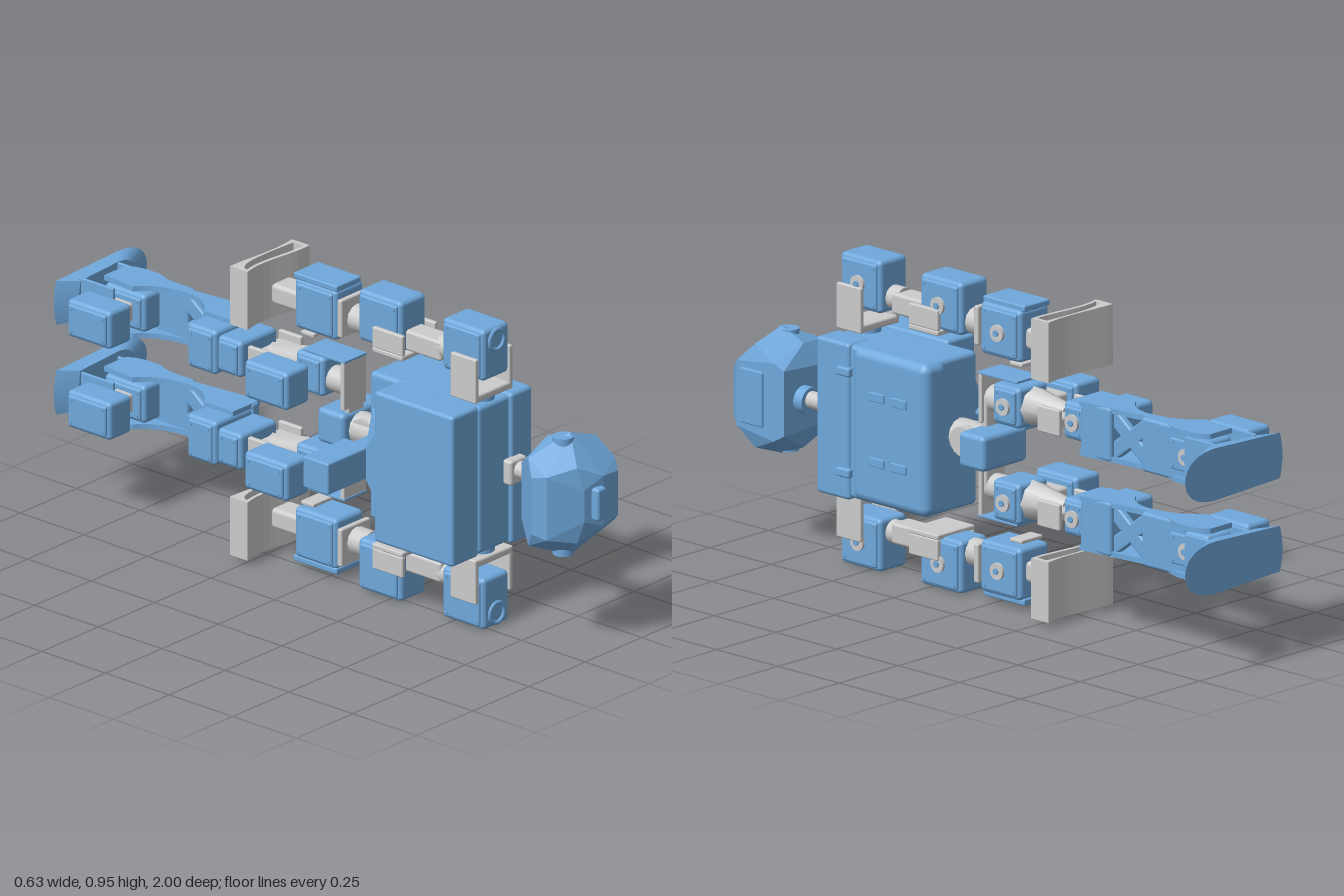
import * as THREE from 'three';
import { RoundedBoxGeometry } from 'three/addons/geometries/RoundedBoxGeometry.js';
import { ConvexGeometry } from 'three/addons/geometries/ConvexGeometry.js';

const blue = new THREE.MeshStandardMaterial({ color: 0x6fa8dc });
const grey = new THREE.MeshStandardMaterial({ color: 0xcccccc });
const HEIGHT = 0.97; // the figure lies on its side, mirrored about half this height

function add(parent, name, geometry, material) {
  const mesh = new THREE.Mesh(geometry, material);
  mesh.name = name;
  parent.add(mesh);
  return mesh;
}

// Box given by its extents, with softened edges
function box(parent, name, material, [x0, x1], [y0, y1], [z0, z1], r = 0.01) {
  const w = x1 - x0, h = y1 - y0, d = z1 - z0;
  const radius = Math.min(r, w * 0.3, h * 0.3, d * 0.3);
  const mesh = add(parent, name, new RoundedBoxGeometry(w, h, d, 2, radius), material);
  mesh.position.set((x0 + x1) / 2, (y0 + y1) / 2, (z0 + z1) / 2);
  return mesh;
}

// Disc or rod along the given axis
function rod(parent, name, material, axis, r, length, x, y, z, sides = 20) {
  const g = new THREE.CylinderGeometry(r, r, length, sides);
  if (axis === 'x') g.rotateZ(Math.PI / 2);
  if (axis === 'z') g.rotateX(Math.PI / 2);
  add(parent, name, g, material).position.set(x, y, z);
}

// Servo: casing, end lids, corner screws and a turning horn on the front
function servo(parent, name, xr, yr, zr) {
  const g = new THREE.Group();
  g.name = name;
  parent.add(g);
  const mid = ([a, b]) => (a + b) / 2;
  box(g, 'casing', blue, [xr[0] + 0.008, xr[1] - 0.008], yr, zr, 0.014);
  const inset = ([a, b]) => [a + 0.012, b - 0.012];
  box(g, 'lid', blue, xr, inset(yr), inset(zr), 0.006);
  rod(g, 'horn', grey, 'x', 0.026, 0.012, xr[1] + 0.003, mid(yr), mid(zr));
  rod(g, 'hornScrew', blue, 'x', 0.01, 0.02, xr[1] + 0.004, mid(yr), mid(zr), 10);
  for (const y of inset(inset(yr))) for (const z of inset(inset(zr)))
    rod(g, 'screw', blue, 'x', 0.006, xr[1] - xr[0] + 0.006, mid(xr), y, z, 8);
}

// U-shaped bracket: a web and two cheeks either side of a servo
function fork(parent, name, xr, yr, zr, webY) {
  const g = new THREE.Group();
  g.name = name;
  parent.add(g);
  box(g, 'web', grey, xr, webY, zr, 0.008);
  box(g, 'cheek', grey, [xr[0], xr[0] + 0.016], yr, zr, 0.006);
  box(g, 'cheek', grey, [xr[1] - 0.016, xr[1]], yr, zr, 0.006);
}

function buildArm(Y) {
  const arm = new THREE.Group();
  const y = (a, b) => [Y(a), Y(b)].sort((p, q) => p - q);
  fork(arm, 'shoulderBracket', [-0.047, 0.12], y(0.735, 0.875), [0.51, 0.61], y(0.735, 0.76));
  rod(arm, 'shoulderHorn', blue, 'y', 0.04, 0.03, 0.035, Y(0.73), 0.56);
  servo(arm, 'shoulderServo', [-0.03, 0.1], y(0.8, 0.962), [0.455, 0.62]);
  const ring = add(arm, 'shoulderRing', new THREE.TorusGeometry(0.032, 0.007, 8, 18), blue);
  ring.position.set(0.035, Y(0.92), 0.62);
  rod(arm, 'upperArmJoint', grey, 'z', 0.036, 0.05, 0.035, Y(0.845), 0.435);
  box(arm, 'upperArmLink', grey, [0, 0.075], y(0.805, 0.87), [0.24, 0.43]);
  fork(arm, 'elbowBracket', [-0.045, 0.115], y(0.805, 0.87), [0.2, 0.32], y(0.79, 0.806));
  servo(arm, 'elbowServo', [-0.03, 0.1], y(0.8, 0.962), [0.125, 0.295]);
  rod(arm, 'forearmJoint', grey, 'z', 0.042, 0.06, 0.035, Y(0.84), 0.1, 12);
  box(arm, 'forearmPlate', grey, [-0.03, 0.1], y(0.79, 0.91), [0.05, 0.068]);
  servo(arm, 'wristServo', [-0.03, 0.11], y(0.77, 0.93), [-0.125, 0.04]);
  box(arm, 'wristLid', blue, [-0.02, 0.09], y(0.925, 0.945), [-0.13, 0.04], 0.005);
  box(arm, 'wristFoot', grey, [-0.01, 0.08], y(0.75, 0.762), [-0.11, -0.06], 0.004);
  box(arm, 'wristLink', grey, [-0.005, 0.08], y(0.81, 0.875), [-0.235, -0.12], 0.014);

  // Hand: an open sleeve with gently waved broad faces
  const s = new THREE.Shape();
  s.moveTo(-0.11, 0.23);
  s.bezierCurveTo(-0.02, 0.26, 0.08, 0.22, 0.165, 0.23);
  s.lineTo(0.165, 0.3);
  s.bezierCurveTo(0.08, 0.28, -0.02, 0.3, -0.11, 0.3);
  s.closePath();
  const hole = new THREE.Path();
  hole.moveTo(-0.095, 0.245);
  hole.bezierCurveTo(-0.095, 0.288, 0, 0.288, 0.15, 0.28);
  hole.lineTo(0.15, 0.242);
  hole.bezierCurveTo(0.08, 0.234, -0.02, 0.267, -0.095, 0.245);
  s.holes.push(hole);
  const g = new THREE.ExtrudeGeometry(s, { depth: 0.185, bevelEnabled: false, curveSegments: 10 });
  g.rotateX(-Math.PI / 2);
  add(arm, 'hand', g, grey).position.y = y(0.76, 0.945)[0];
  return arm;
}

function buildLeg(Y) {
  const leg = new THREE.Group();
  const y = (a, b) => [Y(a), Y(b)].sort((p, q) => p - q);
  // Hip
  box(leg, 'hipSidePlate', blue, [-0.01, 0.09], y(0.7, 0.708), [-0.1, 0.062], 0.002);
  box(leg, 'hipTopPlate', grey, [-0.01, 0.09], y(0.55, 0.705), [0.045, 0.06], 0.004);
  rod(leg, 'hipJoint', grey, 'z', 0.04, 0.07, 0.04, Y(0.62), 0.01);
  servo(leg, 'hipServo', [-0.02, 0.12], y(0.57, 0.695), [-0.13, -0.02]);
  servo(leg, 'rearHipServo', [-0.17, -0.05], y(0.57, 0.69), [-0.2, -0.03]);
  box(leg, 'hipLink', grey, [-0.06, 0], y(0.6, 0.66), [-0.17, -0.08]);

  // Thigh: grey block narrowing towards the knee
  const t = new THREE.CylinderGeometry(0.034, 0.062, 0.15, 8).rotateX(-Math.PI / 2);
  add(leg, 'thigh', t, grey).position.set(0.045, Y(0.63), -0.195);
  fork(leg, 'thighBracket', [-0.04, 0.13], y(0.59, 0.67), [-0.31, -0.22], y(0.615, 0.645));

  // Knee
  servo(leg, 'kneeServo', [-0.08, 0.1], y(0.575, 0.69), [-0.385, -0.29]);
  servo(leg, 'upperShinServo', [-0.085, 0.1], y(0.56, 0.7), [-0.5, -0.385]);

  // Shin side plates, hollowed at the calf
  const s = new THREE.Shape();
  s.moveTo(0.12, 0.385);
  s.lineTo(0, 0.385);
  s.lineTo(0, 0.5);
  s.quadraticCurveTo(0.075, 0.55, 0.07, 0.63);
  s.quadraticCurveTo(0.06, 0.74, 0, 0.78);
  s.lineTo(0.01, 0.9);
  s.lineTo(0.1, 0.9);
  s.quadraticCurveTo(0.135, 0.87, 0.125, 0.78);
  s.quadraticCurveTo(0.085, 0.68, 0.1, 0.6);
  s.closePath();
  for (const c of [0.547, 0.697]) {
    const g = new THREE.ExtrudeGeometry(s, { depth: 0.016, bevelEnabled: false, curveSegments: 10 });
    g.rotateX(-Math.PI / 2);
    add(leg, 'shinSide', g, blue).position.y = y(c, c + 0.016)[0];
  }
  // Shin front, with crossed struts over the opening
  box(leg, 'shinUpperFront', blue, [0.08, 0.115], y(0.547, 0.713), [-0.505, -0.38]);
  box(leg, 'shinLowerFront', blue, [0.075, 0.115], y(0.547, 0.713), [-0.81, -0.63]);
  for (const a of [-1, 1])
    box(leg, 'shinStrut', blue, [0.075, 0.1], y(0.605, 0.655), [-0.67, -0.47]).rotation.x = a * 0.65;

  // Ankle
  servo(leg, 'ankleServo', [0, 0.12], y(0.57, 0.69), [-0.9, -0.74]);
  servo(leg, 'rearAnkleServo', [-0.165, -0.05], y(0.57, 0.69), [-0.9, -0.73]);
  box(leg, 'ankleLink', grey, [-0.06, 0.01], y(0.6, 0.66), [-0.85, -0.78]);
  for (const x of [-0.03, 0.13])
    box(leg, 'ankleBracket', blue, [x, x + 0.01], y(0.57, 0.7), [-0.965, -0.83], 0.003);

  // Foot: rounded toe, drawn in towards the ankle
  const f = new THREE.Shape();
  f.moveTo(-0.09, -0.07);
  f.lineTo(0.18, -0.08);
  f.bezierCurveTo(0.27, -0.08, 0.31, -0.045, 0.312, 0);
  f.bezierCurveTo(0.31, 0.045, 0.27, 0.08, 0.18, 0.08);
  f.lineTo(-0.09, 0.07);
  f.quadraticCurveTo(-0.112, 0, -0.09, -0.07);
  const g = new THREE.ExtrudeGeometry(f, { depth: 0.045, bevelEnabled: false, curveSegments: 12 });
  const p = g.attributes.position;
  for (let i = 0; i < p.count; i++)
    if (p.getZ(i) > 0.02) p.setXY(i, 0.06 + (p.getX(i) - 0.06) * 0.62, p.getY(i) * 0.92);
  g.computeVertexNormals();
  add(leg, 'foot', g, blue).position.set(0, Y(0.628), -1);
  return leg;
}

function buildBody() {
  const body = new THREE.Group();
  const c = HEIGHT / 2;
  const yr = (h) => [c - h, c + h];
  // Torso and chest panels
  box(body, 'torso', blue, [-0.035, 0.185], yr(0.235), [0.18, 0.61], 0.015);
  box(body, 'chest', blue, [0.1, 0.195], yr(0.24), [0.485, 0.62], 0.012);
  box(body, 'belly', blue, [0.1, 0.195], yr(0.235), [0.17, 0.478], 0.03);
  for (const s of [-1, 1]) {
    for (const z of [0.25, 0.34])
      box(body, 'chestVent', blue, [0.19, 0.2], [c + s * 0.1 - 0.014, c + s * 0.1 + 0.014], [z, z + 0.06], 0.004);
    box(body, 'chestClip', blue, [0.185, 0.207], [c + s * 0.155 - 0.014, c + s * 0.155 + 0.014], [0.475, 0.53], 0.008);
  }
  // Backpack with a slope running down to the rear block
  box(body, 'backpack', blue, [-0.15, -0.03], yr(0.24), [0.3, 0.61], 0.012);
  const slope = [];
  for (const s of [-1, 1])
    slope.push([-0.15, 0.11, 0.31], [-0.03, 0.2, 0.31], [-0.03, 0.12, 0.19], [-0.15, 0.05, 0.27])
      && slope.slice(-4).forEach((q) => { q[1] = c + s * q[1]; });
  add(body, 'backSlope', new ConvexGeometry(slope.map((q) => new THREE.Vector3(...q))), blue);
  box(body, 'rearBlock', blue, [-0.318, -0.13], yr(0.05), [0.17, 0.27], 0.006);
  box(body, 'rearBlockMount', blue, [-0.14, -0.02], yr(0.04), [0.19, 0.27], 0.006);

  // Waist
  rod(body, 'waistJoint', grey, 'z', 0.05, 0.1, 0.05, c, 0.12, 12);
  rod(body, 'waistDisc', grey, 'x', 0.045, 0.1, 0.06, c, 0.11, 14);
  box(body, 'pelvis', blue, [-0.02, 0.17], yr(0.055), [-0.04, 0.065], 0.016);
  box(body, 'hipCrossbar', grey, [0.01, 0.08], yr(0.14), [0.035, 0.06], 0.006);

  // Neck
  rod(body, 'neck', grey, 'z', 0.026, 0.15, 0.11, c + 0.005, 0.69);
  box(body, 'neckBase', grey, [0.07, 0.145], yr(0.04), [0.61, 0.645]);
  rod(body, 'neckCollar', blue, 'z', 0.042, 0.04, 0.11, c, 0.74);

  // Head: faceted helmet, half outline mirrored
  const half = [
    [0, 0.09, 0.75], [0.19, 0.1, 0.755], [-0.07, 0.09, 0.85], [-0.06, 0.1, 0.9], [-0.05, 0.14, 0.82],
    [0.08, 0.195, 0.87], [0.18, 0.16, 0.88], [0.08, 0.16, 0.78], [0.198, 0.1, 0.94], [0.198, 0.12, 0.79],
    [0.18, 0.07, 0.97], [0.02, 0.12, 0.95], [0.1, 0.08, 0.982], [0.03, 0.05, 0.97],
  ];
  const points = half.flatMap(([x, y, z]) => [-1, 1].map((s) => new THREE.Vector3(x, c + s * y, z)));
  add(body, 'head', new ConvexGeometry(points), blue);
  box(body, 'headCrest', blue, [0.057, 0.098], yr(0.052), [0.96, 1.0], 0.01);
  box(body, 'visor', blue, [0.19, 0.206], yr(0.085), [0.83, 0.92], 0.006);
  for (const s of [-1, 1])
    rod(body, 'earDisc', blue, 'y', 0.032, 0.03, 0.06, c + s * 0.172, 0.86, 16);
  return body;
}

export function createModel() {
  const model = new THREE.Group();
  model.name = 'robot';
  const body = buildBody();
  body.name = 'body';
  model.add(body);
  const sides = { left: (y) => y, right: (y) => HEIGHT - y };
  for (const [side, Y] of Object.entries(sides)) {
    const arm = buildArm(Y), leg = buildLeg(Y);
    arm.name = side + 'Arm';
    leg.name = side + 'Leg';
    model.add(arm, leg);
  }
  return model;
}
